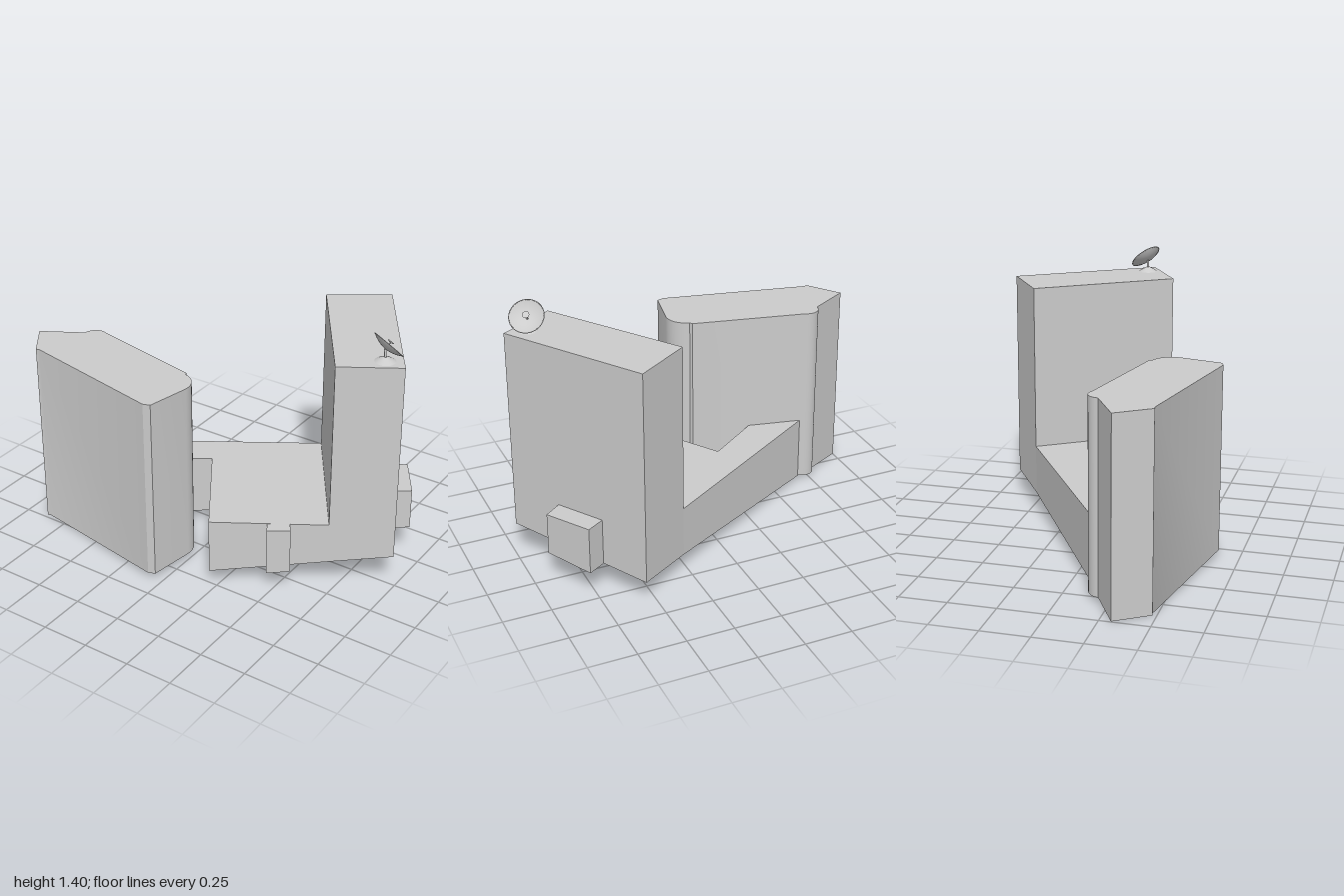
import * as THREE from 'three';
import { toCreasedNormals } from 'three/addons/utils/BufferGeometryUtils.js';

const grey = new THREE.MeshStandardMaterial({ color: 0xcccccc, side: THREE.DoubleSide });

function add(parent, name, geometry) {
  const mesh = new THREE.Mesh(geometry, grey);
  mesh.name = name;
  parent.add(mesh);
  return mesh;
}

// Open-bottomed block: footprint corners [x, z, groundY], flat roof, optional missing walls
function block(corners, top, skip = []) {
  const pos = [];
  const low = (c) => [c[0], c[2], c[1]];
  const high = (c) => [c[0], top, c[1]];
  corners.forEach((p, i) => {
    if (skip.includes(i)) return;
    const q = corners[(i + 1) % corners.length];
    pos.push(...low(p), ...high(p), ...high(q), ...low(p), ...high(q), ...low(q));
  });
  const outline = corners.map((c) => new THREE.Vector2(c[0], c[1]));
  for (const [a, b, c] of THREE.ShapeUtils.triangulateShape(outline, [])) {
    pos.push(...high(corners[a]), ...high(corners[c]), ...high(corners[b]));
  }
  const g = new THREE.BufferGeometry();
  g.setAttribute('position', new THREE.Float32BufferAttribute(pos, 3));
  return toCreasedNormals(g, 0.5);
}

function arc(cx, cz, r, from, to, n) {
  return Array.from({ length: n + 1 }, (_, i) => {
    const a = THREE.MathUtils.degToRad(from + (to - from) * i / n);
    return [cx + r * Math.cos(a), cz + r * Math.sin(a)];
  });
}

// Thin rod between two points
function rod(parent, name, a, b, r) {
  const m = add(parent, name, new THREE.CylinderGeometry(r, r, a.distanceTo(b), 8));
  m.position.copy(a).lerp(b, 0.5);
  m.quaternion.setFromUnitVectors(new THREE.Vector3(0, 1, 0), b.clone().sub(a).normalize());
}

function makeDish() {
  const dish = new THREE.Group();
  dish.name = 'satelliteDish';
  const base = add(dish, 'dishBase', new THREE.CylinderGeometry(0.012, 0.052, 0.022, 24));
  base.position.set(0.885, 1.271, 0.018);

  // Tilted bowl with its feed
  const bowl = new THREE.Group();
  bowl.name = 'dishHead';
  const normal = new THREE.Vector3(0.36, 0.7, -0.61).normalize();
  bowl.position.set(0.89, 1.34, 0.003).addScaledVector(normal, -0.025);
  bowl.quaternion.setFromUnitVectors(new THREE.Vector3(0, 1, 0), normal);
  const profile = Array.from({ length: 9 }, (_, i) => {
    const t = i / 8;
    return new THREE.Vector2(0.086 * t, 0.026 * t * t);
  });
  add(bowl, 'dishBowl', new THREE.LatheGeometry(profile, 32));
  const rim = add(bowl, 'dishRim', new THREE.TorusGeometry(0.086, 0.002, 6, 32));
  rim.rotation.x = Math.PI / 2;
  rim.position.y = 0.026;
  rod(bowl, 'feedArm', new THREE.Vector3(0, 0, 0), new THREE.Vector3(0, 0.04, 0), 0.003);
  const feed = add(bowl, 'feedCap', new THREE.CylinderGeometry(0.018, 0.012, 0.006, 16));
  feed.position.y = 0.042;
  dish.add(bowl);

  rod(dish, 'dishPost', new THREE.Vector3(0.885, 1.275, 0.018), bowl.position.clone(), 0.006);
  return dish;
}

export function createModel() {
  const model = new THREE.Group();
  model.name = 'buildings';

  // Separate building with a rounded corner and a rounded stair bay
  const outline = [
    [-1, 0.31],
    ...arc(-0.725, 0.19, 0.065, -180, -60, 10),
    [-0.09, 0.262],
    ...arc(-0.105, 0.385, 0.11, -77, 8, 10),
    [-0.043, 0.626], [-0.08, 0.638], [-0.86, 0.475], [-0.88, 0.48],
  ].map(([x, z]) => [x, z, 0.06 + 0.043 * x - 0.045 * z]);
  add(model, 'roundedBuilding', block(outline, 1.015));

  // Tall tower of the main building
  add(model, 'tower', block([
    [0.28, -0.46, 0.106], [0.56, -0.65, 0.13], [1, 0.03, 0.195], [0.72, 0.2, 0.155],
  ], 1.26));

  // Low L-shaped wing joining tower and rounded building
  add(model, 'lowWing', block([
    [-0.7, 0.15, 0.02], [0.28, -0.46, 0.106], [0.72, 0.2, 0.155],
    [0.21, 0.51, 0.08], [-0.12, 0, 0.05], [-0.4, 0.2, 0.03],
  ], 0.375, [1, 5]));

  // Small projections
  add(model, 'porch', block([
    [0.555, 0.3, 0.135], [0.59, 0.35, 0.132], [0.49, 0.415, 0.12], [0.46, 0.36, 0.12],
  ], 0.375, [3]));
  add(model, 'sideAnnex', block([
    [0.7, -0.434, 0.15], [0.79, -0.49, 0.15], [0.93, -0.275, 0.178], [0.845, -0.21, 0.172],
  ], 0.4, [3]));

  model.add(makeDish());
  return model;
}
